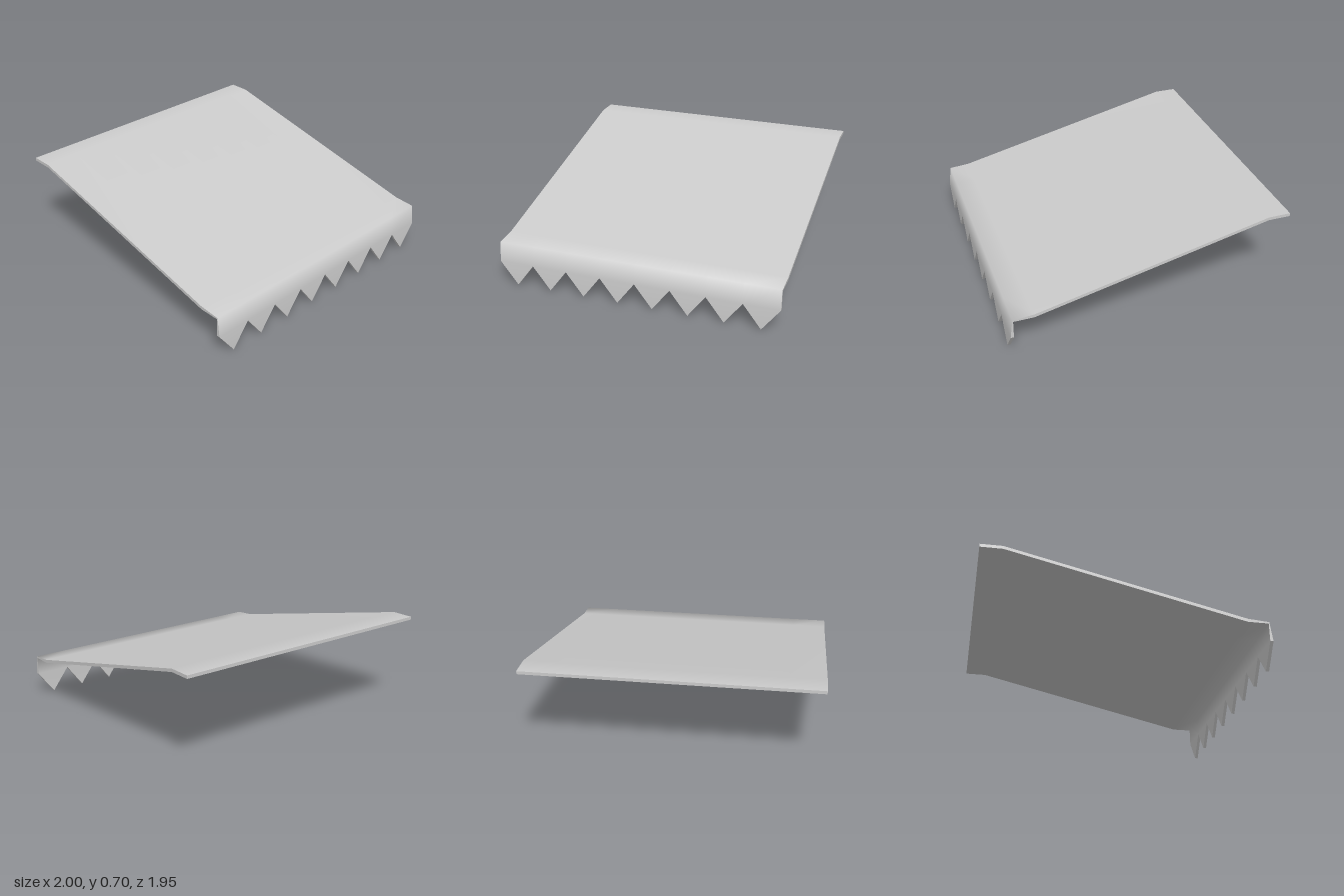
import * as THREE from 'three';

// Side profile from the wall edge to the hem, as [z, y]
const OUTER = [[-0.975, 0.7], [-0.82, 0.7], [0.81, 0.316], [0.957, 0.304], [0.975, 0.165]];
const INNER = [[-0.975, 0.678], [-0.82, 0.678], [0.81, 0.293], [0.952, 0.293], [0.953, 0.165]];
const TEETH = 8;
const WIDTH = 2;

// Points of one skin: rows across the width, then the row of tooth tips
function skinPoints(profile) {
  const pts = [];
  for (const [z, y] of profile)
    for (let c = 0; c <= TEETH; c++) pts.push([(c / TEETH - 0.5) * WIDTH, y, z]);
  const hemZ = profile[profile.length - 1][0];
  for (let c = 0; c < TEETH; c++) pts.push([((c + 0.5) / TEETH - 0.5) * WIDTH, 0, hemZ]);
  return pts;
}

const cols = TEETH + 1;
const lastRow = OUTER.length - 1;
const at = (r, c) => r * cols + c;

// Smooth skin, flipped for the underside
function skinGeometry(pts, flip) {
  const index = [];
  const tri = (a, b, c) => index.push(...(flip ? [a, c, b] : [a, b, c]));
  for (let c = 0; c < TEETH; c++) {
    for (let r = 0; r < lastRow; r++) {
      tri(at(r, c), at(r + 1, c), at(r, c + 1));
      tri(at(r + 1, c), at(r + 1, c + 1), at(r, c + 1));
    }
    tri(at(lastRow, c), at(lastRow + 1, c), at(lastRow, c + 1));
  }
  const geo = new THREE.BufferGeometry();
  geo.setAttribute('position', new THREE.Float32BufferAttribute(pts.flat(), 3));
  geo.setIndex(index);
  geo.computeVertexNormals();
  return geo;
}

// Hard-edged rim joining both skins around the whole outline
function rimGeometry(outer, inner) {
  const loop = [];
  for (let r = 0; r < lastRow; r++) loop.push(at(r, 0));
  for (let c = 0; c < TEETH; c++) loop.push(at(lastRow, c), at(lastRow + 1, c));
  for (let r = lastRow; r >= 0; r--) loop.push(at(r, TEETH));
  const pos = [];
  loop.forEach((p, i) => {
    const q = loop[(i + 1) % loop.length];
    pos.push(...outer[q], ...outer[p], ...inner[p], ...outer[q], ...inner[p], ...inner[q]);
  });
  const geo = new THREE.BufferGeometry();
  geo.setAttribute('position', new THREE.Float32BufferAttribute(pos, 3));
  geo.computeVertexNormals();
  return geo;
}

export function createModel() {
  const group = new THREE.Group();
  group.name = 'awning';
  const material = new THREE.MeshStandardMaterial({ color: 0xcccccc });
  const add = (name, geo) => {
    const mesh = new THREE.Mesh(geo, material);
    mesh.name = name;
    group.add(mesh);
  };
  const outer = skinPoints(OUTER);
  const inner = skinPoints(INNER);
  add('canopyTop', skinGeometry(outer, false));
  add('canopyUnderside', skinGeometry(inner, true));
  add('canopyRim', rimGeometry(outer, inner));
  return group;
}
